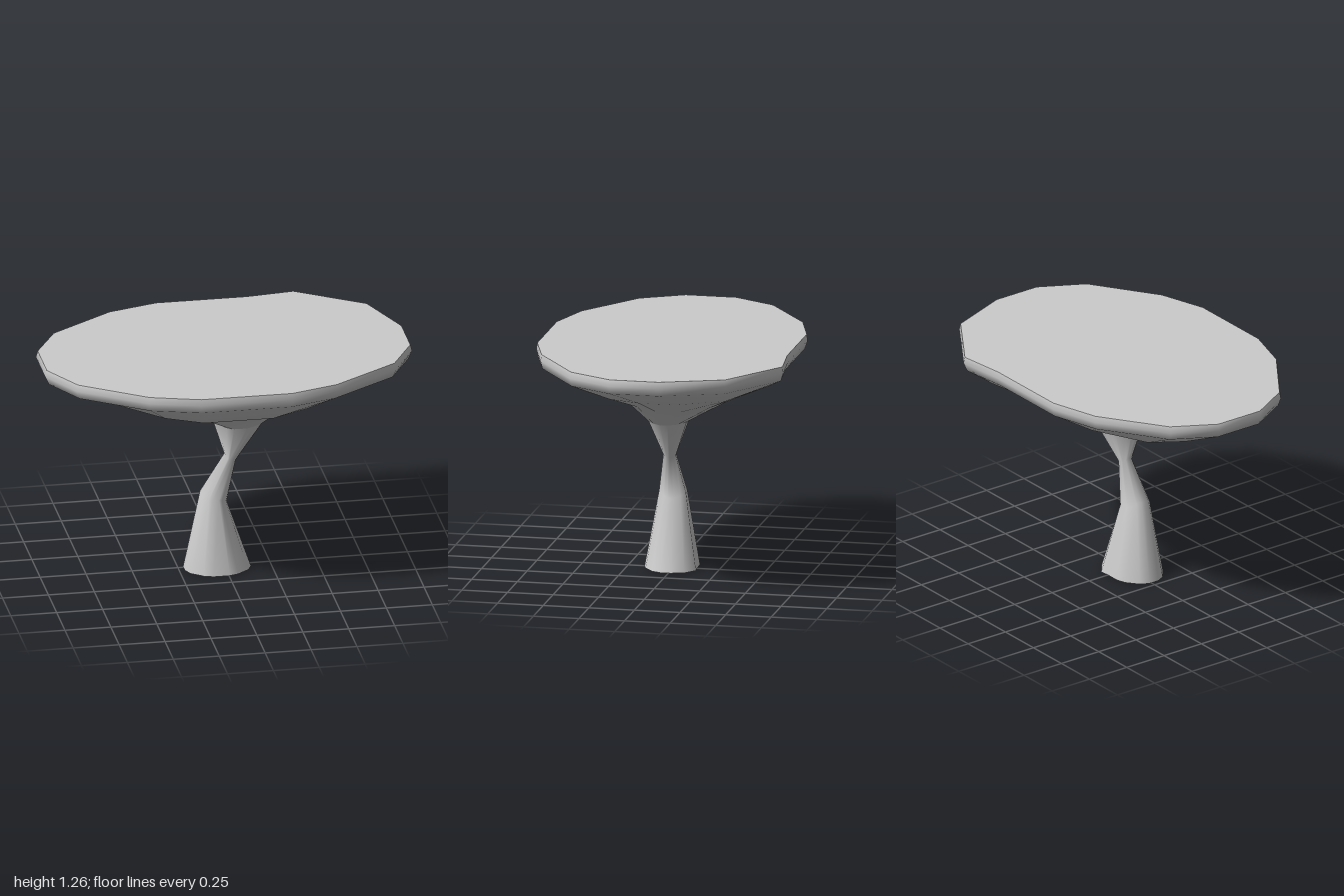
import * as THREE from 'three';

// Table edge outline [x, z], clockwise seen from above
const OUTLINE = [
  [-1, -0.13], [-0.87, -0.36], [-0.52, -0.6], [-0.25, -0.68],
  [0.25, -0.68], [0.51, -0.71], [0.87, -0.47], [1, -0.13],
  [1, 0.14], [0.87, 0.38], [0.51, 0.62], [0.25, 0.7],
  [-0.25, 0.7], [-0.52, 0.62], [-0.87, 0.38], [-1, 0.15],
];

// Cross-sections: x = [left end, right end], z = [back, front], with the height at each of those ends
const STEM = [
  { x: [-0.22, 0.14], z: [-0.13, 0.16], yx: [0, 0], yz: [0, 0] },
  { x: [-0.13, 0.01], z: [-0.06, 0.09], yx: [0.44, 0.38], yz: [0.41, 0.41] },
  { x: [0.0, 0.06], z: [-0.02, 0.05], yx: [0.65, 0.61], yz: [0.63, 0.63] },
  { x: [-0.07, 0.21], z: [-0.1, 0.12], yx: [0.87, 0.83], yz: [0.84, 0.83] },
];
const BOWL = [
  STEM[3],
  { x: [-0.4, 0.4], z: [-0.37, 0.27], yx: [0.97, 0.95], yz: [1.01, 0.97] },
  { x: [-0.75, 0.75], z: [-0.6, 0.45], yx: [1.08, 1.08], yz: [1.13, 1.015] },
  { x: [-0.98, 0.98], z: [-0.685, 0.69], yx: [1.18, 1.18], yz: [1.18, 1.18] },
  { x: [-1, 1], z: [-0.7, 0.7], yx: [1.225, 1.225], yz: [1.225, 1.225] },
  { x: [-0.99, 0.99], z: [-0.695, 0.695], yx: [1.26, 1.26], yz: [1.26, 1.26] },
];

const mix = (ends, t) => THREE.MathUtils.lerp(ends[0], ends[1], (t + 1) / 2);

function ringPoints(section) {
  return OUTLINE.map(([u, z]) => {
    const v = z / 0.7;
    const wx = (u * u) / (u * u + v * v);
    const y = wx * mix(section.yx, u) + (1 - wx) * mix(section.yz, v);
    return new THREE.Vector3(mix(section.x, u), y, mix(section.z, v));
  });
}

// Smooth skin through a stack of cross-sections
function loft(sections) {
  const n = OUTLINE.length;
  const index = [];
  for (let r = 0; r < sections.length - 1; r++) {
    for (let i = 0; i < n; i++) {
      const a = r * n + i, b = r * n + (i + 1) % n;
      index.push(a, a + n, b, b, a + n, b + n);
    }
  }
  const geometry = new THREE.BufferGeometry().setFromPoints(sections.flatMap(ringPoints));
  geometry.setIndex(index);
  geometry.computeVertexNormals();
  return geometry;
}

export function createModel() {
  const group = new THREE.Group();
  group.name = 'pedestalTable';
  const material = new THREE.MeshStandardMaterial({ color: 0xcccccc, side: THREE.DoubleSide });
  const add = (name, geometry) => {
    const mesh = new THREE.Mesh(geometry, material);
    mesh.name = name;
    group.add(mesh);
    return mesh;
  };

  // Leaning hollow stem, open at the foot
  add('stem', loft(STEM));

  // Flared underside and rounded rim
  add('flaredUnderside', loft(BOWL));

  // Flat top closing the rim
  const edge = ringPoints(BOWL[BOWL.length - 1]).map((p) => new THREE.Vector2(p.x, -p.z));
  const top = new THREE.ShapeGeometry(new THREE.Shape(edge));
  top.rotateX(-Math.PI / 2);
  add('tableTop', top).position.y = 1.26;

  return group;
}
